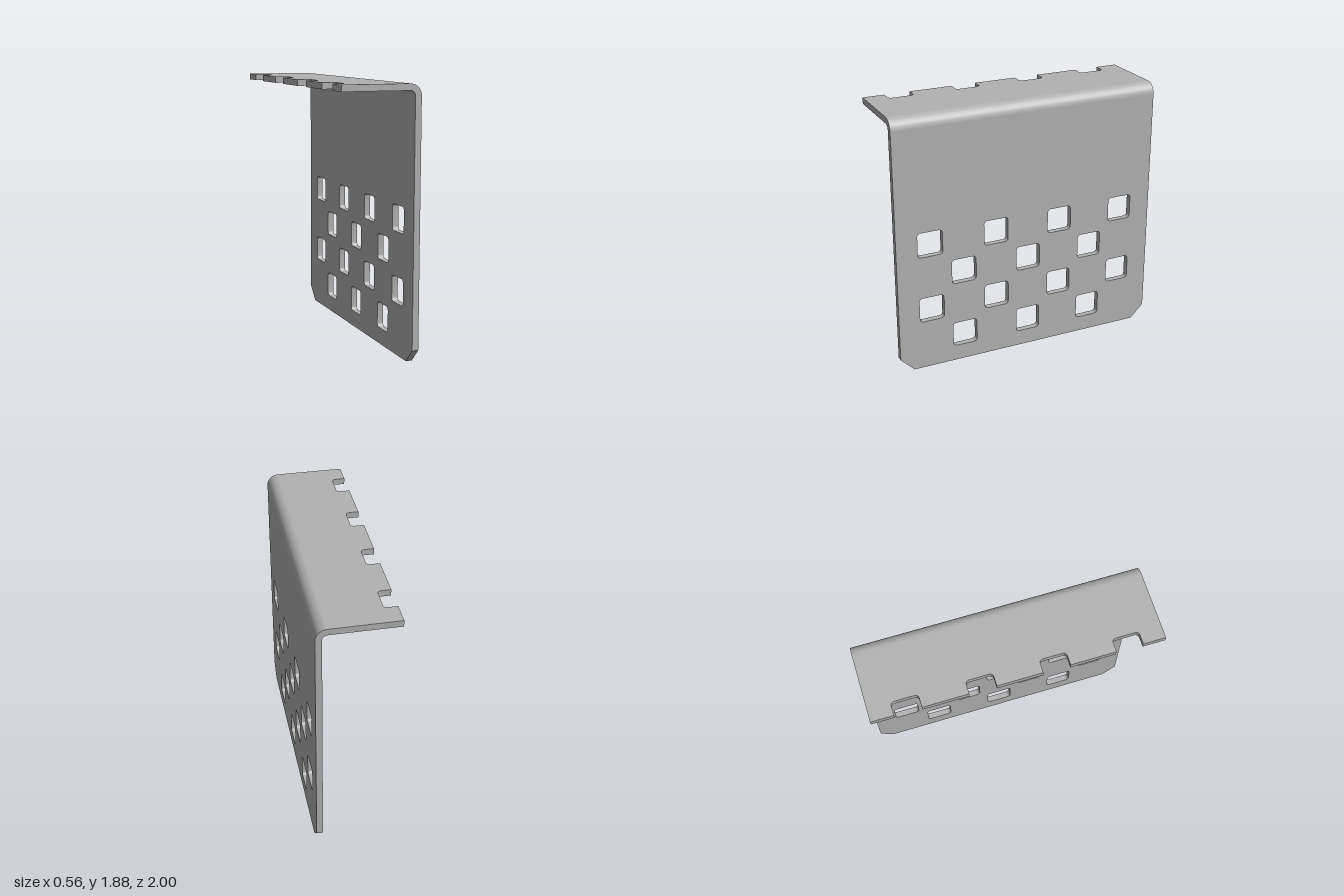
import * as THREE from 'three';
import { toCreasedNormals } from 'three/addons/utils/BufferGeometryUtils.js';

const X = 0.28, H = 1.885, T = 0.045;    // half depth, height, sheet thickness
const R = 0.08, r = R - T;               // outer and inner bend radius
const HOLE = 0.0925, FILLET = 0.025;     // half hole size, corner radius

function extrude(shape, depth) {
  return new THREE.ExtrudeGeometry(shape, { depth, bevelEnabled: false, curveSegments: 8 });
}

// Square hole with rounded corners
function squareHole(cx, cy) {
  const p = new THREE.Path(), s = HOLE, f = FILLET;
  p.moveTo(cx - s + f, cy - s);
  for (let i = 0; i < 4; i++) {
    const a = (i - 1) * Math.PI / 2;
    const sx = i < 2 ? 1 : -1, sy = i === 1 || i === 2 ? 1 : -1;
    p.absarc(cx + sx * (s - f), cy + sy * (s - f), f, a, a + Math.PI / 2, false);
  }
  p.closePath();
  return p;
}

export function createModel() {
  const group = new THREE.Group();
  group.name = 'perforatedBracket';
  const steel = new THREE.MeshStandardMaterial({ color: 0xb2b2b2 });
  steel.name = 'grey steel';
  const add = (name, geometry) => {
    const mesh = new THREE.Mesh(toCreasedNormals(geometry, 0.6), steel);
    mesh.name = name;
    group.add(mesh);
  };

  // Upright plate with chamfered lower corners and staggered holes
  const wall = new THREE.Shape([
    [-0.9, 0], [0.9, 0], [1, 0.1], [1, H - R], [-1, H - R], [-1, 0.1],
  ].map(([x, y]) => new THREE.Vector2(x, y)));
  [0.21, 0.46, 0.71, 0.96].forEach((y, row) => {
    const columns = row % 2 ? [-0.75, -0.25, 0.25, 0.75] : [-0.5, 0, 0.5];
    columns.forEach((z) => wall.holes.push(squareHole(z, y)));
  });
  add('uprightPlate', extrude(wall, T).rotateY(Math.PI / 2).translate(X - T, 0, 0));

  // Rounded bend joining the two plates
  const bend = new THREE.Shape();
  bend.absarc(0, 0, R, 0, Math.PI / 2, false);
  bend.absarc(0, 0, r, Math.PI / 2, 0, true);
  bend.closePath();
  add('bend', extrude(bend, 2).translate(X - R, H - R, -1));

  // Top flange with half-hole notches along its free edge
  const flange = new THREE.Shape();
  const inner = -X + HOLE - FILLET;
  flange.moveTo(-X, -1);
  flange.lineTo(X - R, -1);
  flange.lineTo(X - R, 1);
  flange.lineTo(-X, 1);
  for (const z of [0.75, 0.25, -0.25, -0.75]) {
    flange.lineTo(-X, z + HOLE);
    flange.absarc(inner, z + HOLE - FILLET, FILLET, Math.PI / 2, 0, true);
    flange.absarc(inner, z - HOLE + FILLET, FILLET, 0, -Math.PI / 2, true);
    flange.lineTo(-X, z - HOLE);
  }
  flange.closePath();
  add('topFlange', extrude(flange, T).rotateX(-Math.PI / 2).translate(0, H - T, 0));

  return group;
}
